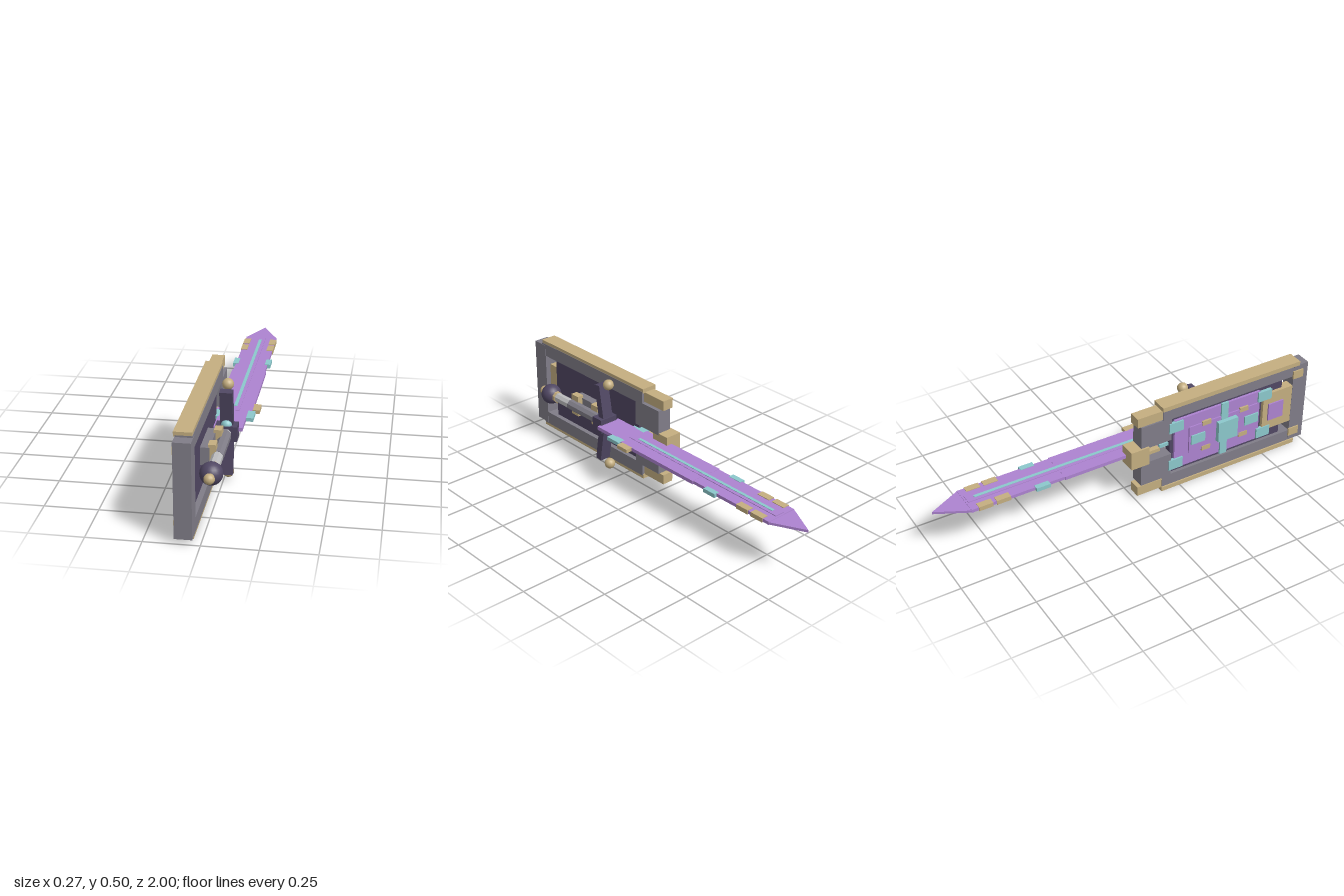
import * as THREE from 'three';

const mat = (name, color) => Object.assign(new THREE.MeshStandardMaterial({ color }), { name });

export function createModel() {
  const root = new THREE.Group();
  const gold = mat('gold', 0xc4ae80), grey = mat('steel grey', 0x807d88), dark = mat('dark violet', 0x504763);
  const purple = mat('purple', 0xad83d0), cyan = mat('cyan', 0x8cc8cc), pale = mat('pale grey', 0xbcbcbe);
  const shield = new THREE.Group(), sword = new THREE.Group();
  shield.name = 'shield';
  sword.name = 'sword';
  root.add(shield, sword);

  const add = (parent, name, geo, m, x = 0, y = 0, z = 0) => {
    const mesh = new THREE.Mesh(geo, m);
    mesh.name = name;
    mesh.position.set(x, y, z);
    parent.add(mesh);
    return mesh;
  };
  // box given by its limits along each axis
  const box = (parent, name, m, x0, x1, y0, y1, z0, z1) =>
    add(parent, name, new THREE.BoxGeometry(x1 - x0, y1 - y0, z1 - z0), m, (x0 + x1) / 2, (y0 + y1) / 2, (z0 + z1) / 2);
  // pair of boxes mirrored above and below the middle height
  const MID = 0.248;
  const pair = (name, m, x0, x1, y0, y1, z0, z1) => {
    box(shield, name, m, x0, x1, y0, y1, z0, z1);
    box(shield, name, m, x0, x1, 2 * MID - y1, 2 * MID - y0, z0, z1);
  };

  // shield frame
  box(shield, 'frontBar', grey, -0.113, -0.034, 0.024, 0.472, 0.915, 1);
  pair('sideBar', grey, -0.112, -0.036, 0.413, 0.48, 0.15, 0.945);
  pair('rail', gold, -0.119, -0.038, 0.473, 0.496, 0.145, 0.945);
  pair('rearBar', grey, -0.112, -0.036, 0.29, 0.42, 0.03, 0.2);
  pair('rearCorner', gold, -0.11, -0.05, 0.425, 0.476, 0.01, 0.15);
  box(shield, 'rearKnob', gold, -0.122, -0.037, 0.2, 0.3, -0.03, 0.07);
  pair('frameStud', gold, -0.12, -0.112, 0.4, 0.444, 0.91, 0.97);

  // shield panels
  box(shield, 'innerPanel', dark, -0.095, -0.06, 0.083, 0.413, 0.2, 0.86);
  box(shield, 'frontPlate', gold, -0.112, -0.062, 0.143, 0.358, 0.74, 0.92);
  box(shield, 'frontPlateInset', purple, -0.12, -0.112, 0.199, 0.296, 0.77, 0.86);
  box(shield, 'facePanel', purple, -0.108, -0.095, 0.105, 0.39, 0.22, 0.72);
  box(shield, 'raisedPanel', purple, -0.115, -0.108, 0.17, 0.326, 0.3, 0.7);

  // face ornaments
  box(shield, 'centreGem', cyan, -0.138, -0.115, 0.192, 0.305, 0.458, 0.572);
  for (const z of [0.225, 0.745]) pair('cornerGem', cyan, -0.117, -0.1, 0.33, 0.386, z - 0.04, z + 0.04);
  for (const z of [0.35, 0.665]) box(shield, 'sideGem', cyan, -0.122, -0.113, 0.222, 0.274, z - 0.04, z + 0.04);
  pair('spineGem', cyan, -0.117, -0.105, 0.305, 0.4, 0.485, 0.525);
  for (const z of [0.4, 0.62]) pair('faceStud', gold, -0.118, -0.106, 0.31, 0.335, z - 0.025, z + 0.025);

  // hand mounts joining the shield to the grip
  for (const z of [0.465, 0.622]) box(shield, 'mountBlock', gold, -0.025, 0.01, 0.193, 0.304, z - 0.026, z + 0.026);
  box(shield, 'mountBase', grey, -0.062, -0.018, 0.205, 0.29, 0.44, 0.65);

  // blade: stepped outline and a thinner tip
  const X = 0.017, Y = 0.248;
  const slab = (name, m, halfW, halfH, z0, z1, x = X) => box(sword, name, m, x - halfW, x + halfW, Y - halfH, Y + halfH, z0, z1);
  slab('bladeBase', purple, 0.067, 0.009, 0.08, 0.35);
  slab('bladeMiddle', purple, 0.086, 0.009, -0.36, 0.15);
  slab('bladeUpper', purple, 0.081, 0.008, -0.84, -0.36);
  const tipShape = new THREE.Shape([[-0.081, 0.84], [0.081, 0.84], [0, 1]].map(p => new THREE.Vector2(...p)));
  const tip = new THREE.ExtrudeGeometry(tipShape, { depth: 0.012, bevelEnabled: false });
  tip.rotateX(-Math.PI / 2);
  add(sword, 'bladeTip', tip, purple, X, Y - 0.006, 0);
  slab('bladeRidge', purple, 0.025, 0.011, -0.83, 0.16);
  slab('bladeGlowLine', cyan, 0.008, 0.013, -0.79, 0.11);

  // blade edge plates on both sides
  for (const s of [-1, 1]) {
    for (const z of [-0.768, -0.678]) slab('edgePlate', gold, 0.017, 0.011, z - 0.036, z + 0.036, X + s * 0.068);
    slab('edgeGem', cyan, 0.014, 0.01, -0.515, -0.442, X + s * 0.082);
    slab('baseGem', cyan, 0.02, 0.009, 0.15, 0.235, X + s * 0.081);
    slab('baseTooth', gold, 0.018, 0.009, 0.068, 0.14, X + s * 0.101);
  }

  // guard with swept arms
  box(sword, 'guardBlock', dark, -0.034, 0.067, 0.212, 0.285, 0.342, 0.408);
  for (const s of [-1, 1]) {
    const arm = add(sword, 'guardArm', new THREE.BoxGeometry(0.059, 0.18, 0.036), dark, X, Y + s * 0.118, 0.38);
    arm.rotation.x = s * 0.16;
    add(sword, 'guardBall', new THREE.SphereGeometry(0.027, 16, 12), gold, X, Y + s * 0.22, 0.34);
  }
  add(sword, 'guardGem', new THREE.SphereGeometry(0.027, 16, 12), cyan, X, 0.284, 0.38);

  // grip and pommel
  const rod = (name, m, r, z0, z1) => {
    const g = new THREE.CylinderGeometry(r, r, z1 - z0, 8);
    g.rotateY(Math.PI / 8).rotateX(Math.PI / 2);
    const flat = g.toNonIndexed();
    flat.computeVertexNormals();
    add(sword, name, flat, m, X, Y, (z0 + z1) / 2);
  };
  rod('grip', pale, 0.026, 0.39, 0.77);
  rod('gripWrap', grey, 0.028, 0.42, 0.645);
  rod('pommelCollar', gold, 0.029, 0.75, 0.775);
  add(sword, 'pommel', new THREE.SphereGeometry(0.052, 20, 14), dark, X, Y, 0.81);
  add(sword, 'pommelCap', new THREE.SphereGeometry(0.025, 14, 10), gold, X, Y, 0.865);
  return root;
}
